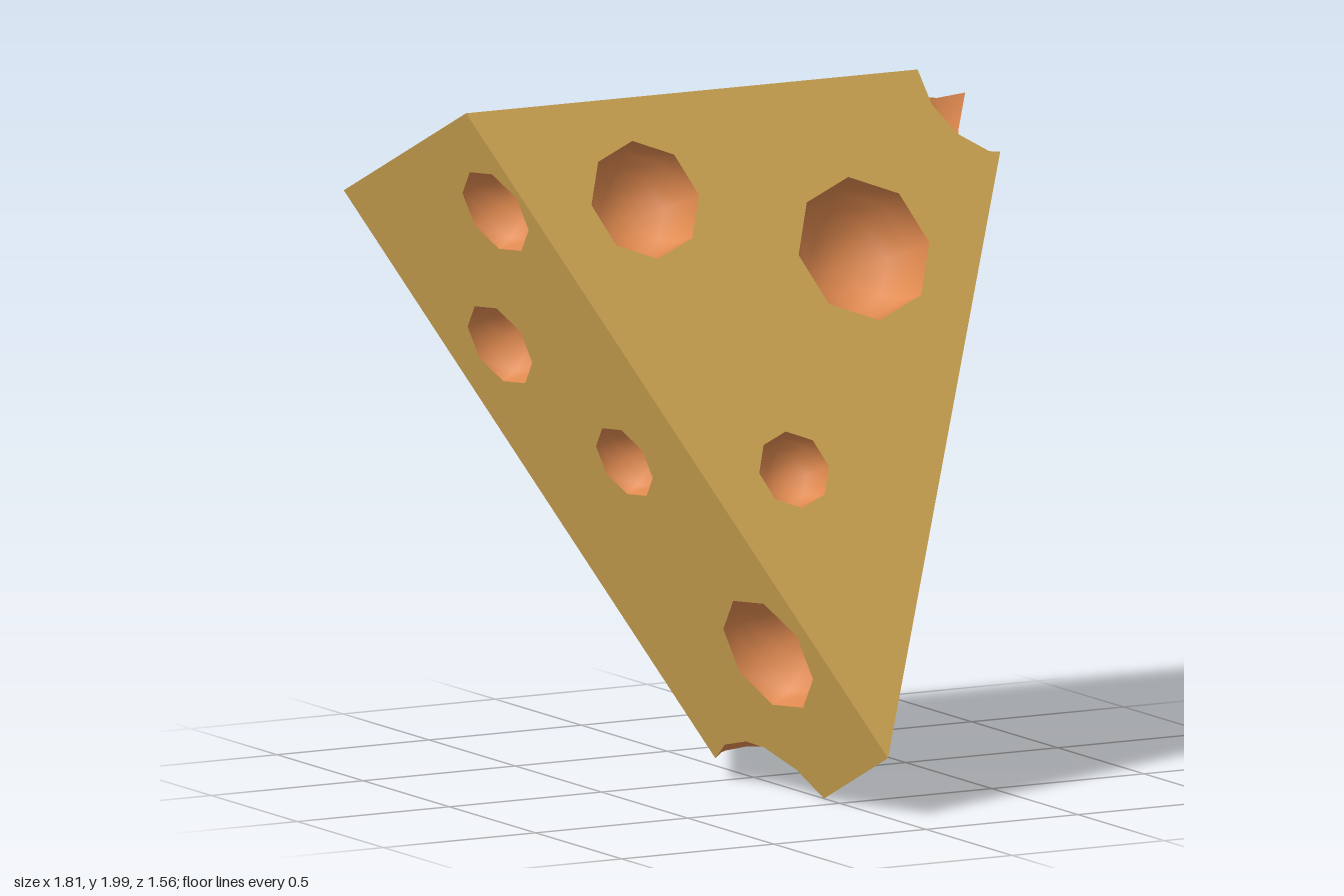
import * as THREE from 'three';

const V = (x, y, z) => new THREE.Vector3(x, y, z);
const W = 0.906, H = 2.01, D = 0.783; // wedge half width, height, thickness

// Wedge corners: tip, right, left on the front and then on the back
const [a, b, c, A, B, C] = [0, -D].flatMap(z => [V(0, 0, z), V(W, H, z), V(-W, H, z)]);

// A flat side of the wedge, with its own 2D frame
function makeSide(name, corners) {
  const u = corners[1].clone().sub(corners[0]).normalize();
  const n = u.clone().cross(corners[2].clone().sub(corners[0])).normalize();
  const v = n.clone().cross(u);
  return {
    name, corners, n,
    plane: new THREE.Plane().setFromNormalAndCoplanarPoint(n, corners[0]),
    matrix: new THREE.Matrix4().makeBasis(u, v, n).setPosition(corners[0]),
    flat: p => {
      const q = p.clone().sub(corners[0]);
      return new THREE.Vector2(q.dot(u), q.dot(v));
    },
  };
}
const sides = {
  front: makeSide('frontFace', [a, b, c]),
  back: makeSide('backFace', [A, C, B]),
  top: makeSide('rindFace', [c, b, B, C]),
  left: makeSide('leftCutFace', [a, A, B, b]),
  right: makeSide('rightCutFace', [a, c, C, A]),
};
const allSides = Object.values(sides);

// Holes: side, centre x, height, depth, radius
const slope = W / H;
const holes = [
  ['front', -0.39, 1.705, 0, 0.177], ['front', 0.28, 1.5, 0, 0.215], ['front', -0.1, 0.872, 0, 0.115],
  ['top', -0.575, H, -0.298, 0.168], ['top', 0.32, H, -0.491, 0.227],
  ['left', slope * 1.716, 1.716, -0.578, 0.13], ['left', slope * 1.171, 1.171, -0.546, 0.08],
  ['left', slope * 0.521, 0.521, -0.43, 0.177],
  ['right', -slope * 1.752, 1.752, -0.158, 0.135], ['right', -slope * 1.452, 1.452, -0.533, 0.132],
  ['right', -slope * 1.02, 1.02, -0.317, 0.116], ['right', -slope * 0.396, 0.396, -0.235, 0.183],
  ['back', 0, 1.395, -D, 0.525], ['back', -0.57, 1.803, -D, 0.09], ['back', 0.166, 0.747, -D, 0.12],
  ['top', 0.83, H, -0.08, 0.285], // bite at the upper corner
  ['top', 0, -0.012, -0.7, 0.292], // bite at the tip
];

// Triangles of a coarse ball whose pole points out of its side
function makeBall([side, x, y, z, r]) {
  const n = sides[side].n;
  const center = V(x, y, z).addScaledVector(n, 0.002);
  const geo = new THREE.SphereGeometry(r, 8, 8).toNonIndexed();
  geo.applyQuaternion(new THREE.Quaternion().setFromUnitVectors(V(0, 1, 0), n));
  geo.translate(center.x, center.y, center.z);
  const pos = geo.attributes.position, tris = [];
  for (let i = 0; i < pos.count; i += 3) {
    tris.push([0, 1, 2].map(k => new THREE.Vector3().fromBufferAttribute(pos, i + k)));
  }
  return { center, tris };
}

const crossing = (p, q, dp, dq) => p.clone().lerp(q, dp / (dp - dq));

// Keep the part of a polygon behind a plane
function clip(poly, plane) {
  const out = [];
  poly.forEach((p, i) => {
    const q = poly[(i + 1) % poly.length];
    const dp = plane.distanceToPoint(p), dq = plane.distanceToPoint(q);
    if (dp <= 0) out.push(p);
    if (dp * dq < 0) out.push(crossing(p, q, dp, dq));
  });
  return out;
}

// Outline where a ball cuts a side, limited to that side
function section(ball, side) {
  const pts = [];
  for (const t of ball.tris) {
    t.forEach((p, i) => {
      const q = t[(i + 1) % 3];
      const dp = side.plane.distanceToPoint(p), dq = side.plane.distanceToPoint(q);
      if (dp * dq >= 0) return;
      const x = crossing(p, q, dp, dq);
      if (!pts.some(o => o.distanceTo(x) < 1e-5)) pts.push(x);
    });
  }
  if (pts.length < 3) return [];
  const mid = pts.reduce((s, p) => s.add(p), V(0, 0, 0)).divideScalar(pts.length);
  const m = side.flat(mid);
  const angle = p => {
    const f = side.flat(p);
    return Math.atan2(f.y - m.y, f.x - m.x);
  };
  pts.sort((p, q) => angle(p) - angle(q));
  return allSides.filter(s => s !== side).reduce((poly, s) => clip(poly, s.plane), pts);
}

// A side with its holes cut out and its bitten corners replaced by arcs
function sideGeometry(side, balls) {
  let outline = [...side.corners];
  const inner = [];
  for (const ball of balls) {
    const cut = section(ball, side);
    if (cut.length < 3) continue;
    const i = cut.findIndex(p => side.corners.some(k => k.distanceTo(p) < 1e-4));
    if (i < 0) {
      inner.push(cut);
      continue;
    }
    const arc = [...cut.slice(i + 1), ...cut.slice(0, i)].reverse();
    outline = outline.flatMap(k => (k.distanceTo(cut[i]) < 1e-4 ? arc : [k]));
  }
  const shape = new THREE.Shape(outline.map(side.flat));
  shape.holes = inner.map(h => new THREE.Path(h.map(side.flat)));
  return new THREE.ShapeGeometry(shape).applyMatrix4(side.matrix);
}

// Smooth hollow: the inside of a ball limited to the wedge
function hollowGeometry(ball) {
  const pos = [], nor = [];
  for (const t of ball.tris) {
    const poly = allSides.reduce((p, s) => clip(p, s.plane), t);
    for (let i = 1; i + 1 < poly.length; i++) {
      for (const p of [poly[0], poly[i + 1], poly[i]]) {
        pos.push(p.x, p.y, p.z);
        nor.push(...ball.center.clone().sub(p).normalize().toArray());
      }
    }
  }
  const geo = new THREE.BufferGeometry();
  geo.setAttribute('position', new THREE.Float32BufferAttribute(pos, 3));
  geo.setAttribute('normal', new THREE.Float32BufferAttribute(nor, 3));
  return geo;
}

export function createModel() {
  const cheese = new THREE.MeshStandardMaterial({ color: 0xdeb259 });
  cheese.name = 'cheeseYellow';
  const inside = new THREE.MeshStandardMaterial({ color: 0xe28b50 });
  inside.name = 'holeOrange';

  const wedge = new THREE.Group();
  wedge.name = 'cheeseWedge';
  const add = (name, geo, mat) => {
    const mesh = new THREE.Mesh(geo, mat);
    mesh.name = name;
    wedge.add(mesh);
  };

  const balls = holes.map(makeBall);
  for (const side of allSides) add(side.name, sideGeometry(side, balls), cheese);
  balls.forEach((ball, i) => add(i < holes.length - 2 ? 'hole' : 'bite', hollowGeometry(ball), inside));

  // Wedge leans back, standing on its tip
  wedge.rotation.x = THREE.MathUtils.degToRad(-25);
  wedge.position.set(0, 0.178, 0.78);

  const model = new THREE.Group();
  model.name = 'model';
  model.add(wedge);
  return model;
}
